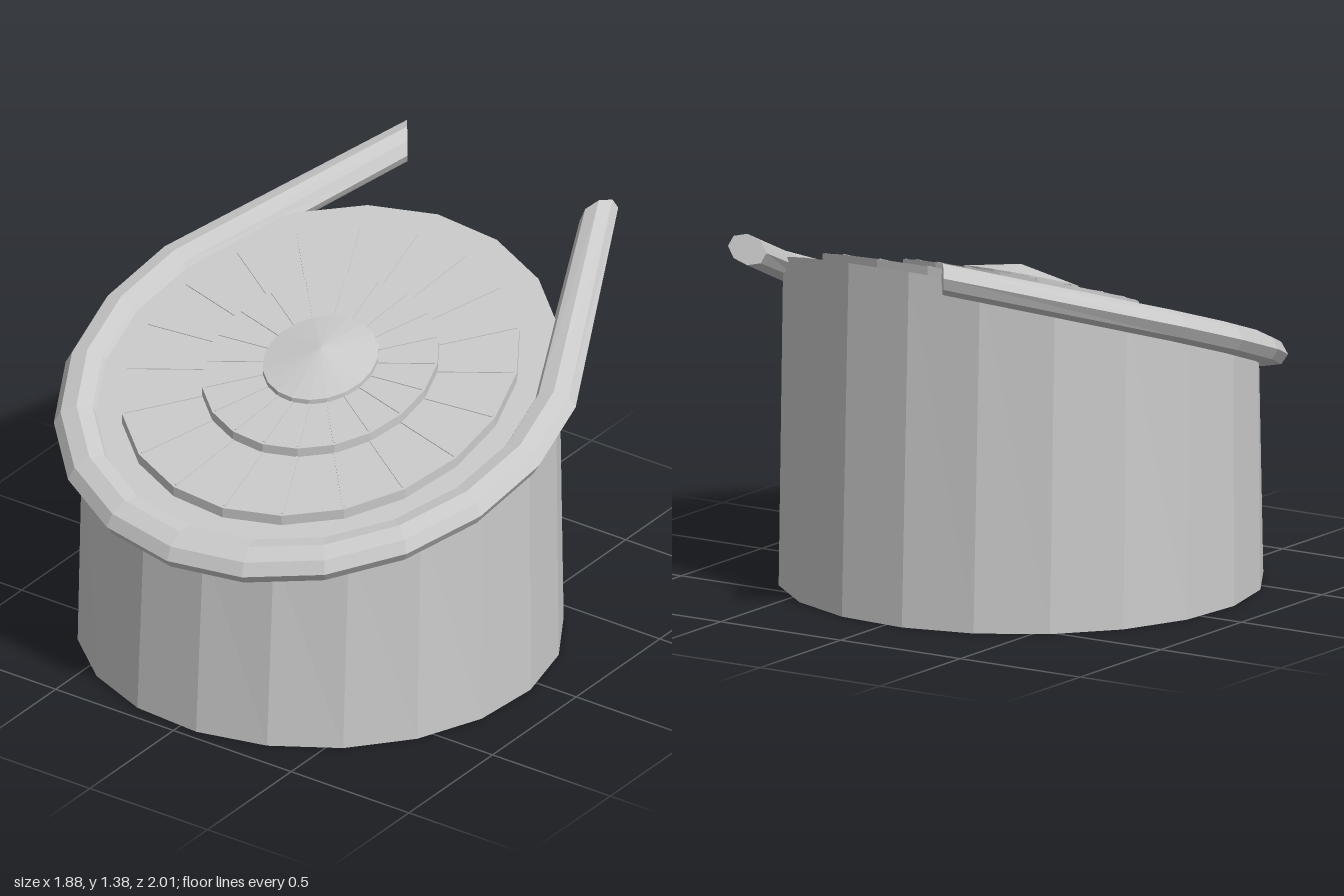
import * as THREE from 'three';

const TILT = THREE.MathUtils.degToRad(18.4);
const SIDES = 20;
const START = THREE.MathUtils.degToRad(4.7);
const CENTER_Z = 0.12;

const material = new THREE.MeshStandardMaterial({
  color: 0xcccccc, flatShading: true, side: THREE.DoubleSide,
});

// Lays a flat point onto the sloping top; heights stay vertical
function slope(x, y, z) {
  return [x, y - z * Math.sin(TILT), CENTER_Z + z * Math.cos(TILT)];
}

function place(geometry, rule) {
  const p = geometry.attributes.position;
  for (let i = 0; i < p.count; i++) p.setXYZ(i, ...rule(p.getX(i), p.getY(i), p.getZ(i)));
  geometry.computeVertexNormals();
  return geometry;
}

function lathe(points) {
  return new THREE.LatheGeometry(points.map(([r, y]) => new THREE.Vector2(r, y)), SIDES, START);
}

// Bent rim: oval sections swept round the front and along two straight arms
function rimGeometry() {
  const stations = [];
  stations.push({ x: -0.3875, z: -1.12, dx: -0.043, dz: -0.061 });
  for (let k = -6; k <= 6; k++) {
    const a = THREE.MathUtils.degToRad(-1.2 + 18 * k);
    const s = Math.sin(a), c = Math.cos(a);
    stations.push({ x: 0.86 * s, z: 0.86 * c, dx: 0.08 * s, dz: 0.08 * c });
  }
  stations.push({ x: 0.445, z: -1.093, dx: 0.045, dz: -0.055 });

  const N = 8, positions = [], index = [];
  for (const { x, z, dx, dz } of stations) {
    for (let j = 0; j < N; j++) {
      const b = (j / N) * Math.PI * 2;
      const w = Math.cos(b);
      positions.push(...slope(x + dx * w, 0.97 + 0.056 * Math.sin(b), z + dz * w));
    }
  }
  for (let i = 0; i < stations.length - 1; i++) {
    for (let j = 0; j < N; j++) {
      const a = i * N + j, b = i * N + (j + 1) % N;
      index.push(a, a + N, b, b, a + N, b + N);
    }
  }
  // End caps
  const last = (stations.length - 1) * N;
  for (let j = 1; j < N - 1; j++) {
    index.push(0, j, j + 1, last, last + j + 1, last + j);
  }
  const g = new THREE.BufferGeometry();
  g.setAttribute('position', new THREE.Float32BufferAttribute(positions, 3));
  g.setIndex(index);
  g.computeVertexNormals();
  return g;
}

export function createModel() {
  const model = new THREE.Group();
  model.name = 'slopedDrum';

  const add = (name, geometry, parent = model) => {
    const mesh = new THREE.Mesh(geometry, material);
    mesh.name = name;
    parent.add(mesh);
    return mesh;
  };

  // Open-bottomed drum wall: level foot, tilted top ring
  add('drumWall', place(lathe([[0.845, 0], [0.845, 0.99]]), (x, y, z) =>
    y > 0.5 ? slope(x, y, z) : [x, y, z + CENTER_Z]));

  // Stepped lid rising to a shallow cone
  add('steppedLid', place(lathe([
    [0.845, 0.99], [0.705, 0.99], [0.705, 1.027], [0.42, 1.027], [0.42, 1.06],
    [0.205, 1.06], [0.205, 1.077], [0, 1.12],
  ]), slope));

  add('bentRim', rimGeometry());

  // Thin radial seams dividing the two lid rings into panels
  const seams = new THREE.Group();
  seams.name = 'panelSeams';
  model.add(seams);
  for (const [inner, outer, height] of [[0.42, 0.695, 1.027], [0.205, 0.41, 1.06]]) {
    for (let i = 0; i < SIDES; i++) {
      const g = new THREE.BoxGeometry(0.008, 0.006, outer - inner);
      g.translate(0, height, (inner + outer) / 2);
      g.rotateY(START + (i / SIDES) * Math.PI * 2);
      add('panelSeam', place(g, slope), seams);
    }
  }

  return model;
}
